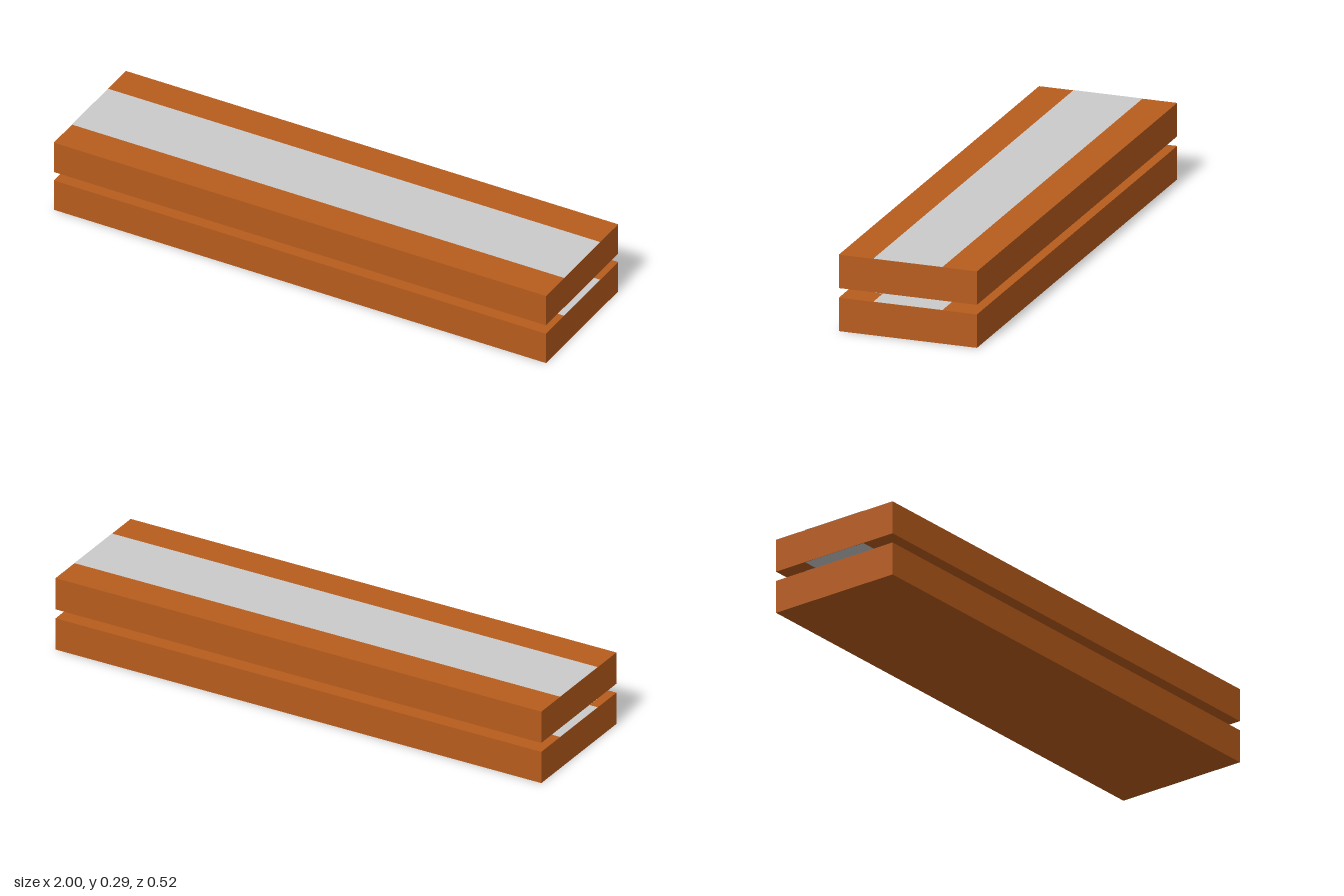
import * as THREE from 'three';

const LENGTH = 2, WIDTH = 0.524, HEIGHT = 0.125, PITCH = 0.161;
const STRIP_WIDTH = WIDTH / 2, PROUD = 0.0008;

export function createModel() {
  const model = new THREE.Group();
  model.name = 'stackedPlanks';
  const wood = new THREE.MeshStandardMaterial({ color: 0xb85c1c, flatShading: true });
  const grey = new THREE.MeshStandardMaterial({ color: 0xcccccc, side: THREE.DoubleSide });

  // Thin band running the full length of a plank face
  function addStrip(parent, name, y, facing) {
    const strip = new THREE.Mesh(new THREE.PlaneGeometry(LENGTH, STRIP_WIDTH), grey);
    strip.name = name;
    strip.rotation.x = -facing * Math.PI / 2;
    strip.position.y = y + facing * PROUD;
    parent.add(strip);
  }

  // Two identical planks with a gap between them
  ['lower', 'upper'].forEach((level, i) => {
    const group = new THREE.Group();
    group.name = level + 'Plank';
    group.position.y = i * PITCH;

    const board = new THREE.Mesh(new THREE.BoxGeometry(LENGTH, HEIGHT, WIDTH), wood);
    board.name = level + 'Board';
    board.position.y = HEIGHT / 2;
    group.add(board);

    addStrip(group, level + 'TopStrip', HEIGHT, 1);
    // The underside of the lowest plank is plain
    if (i > 0) addStrip(group, level + 'BottomStrip', 0, -1);
    model.add(group);
  });

  return model;
}
